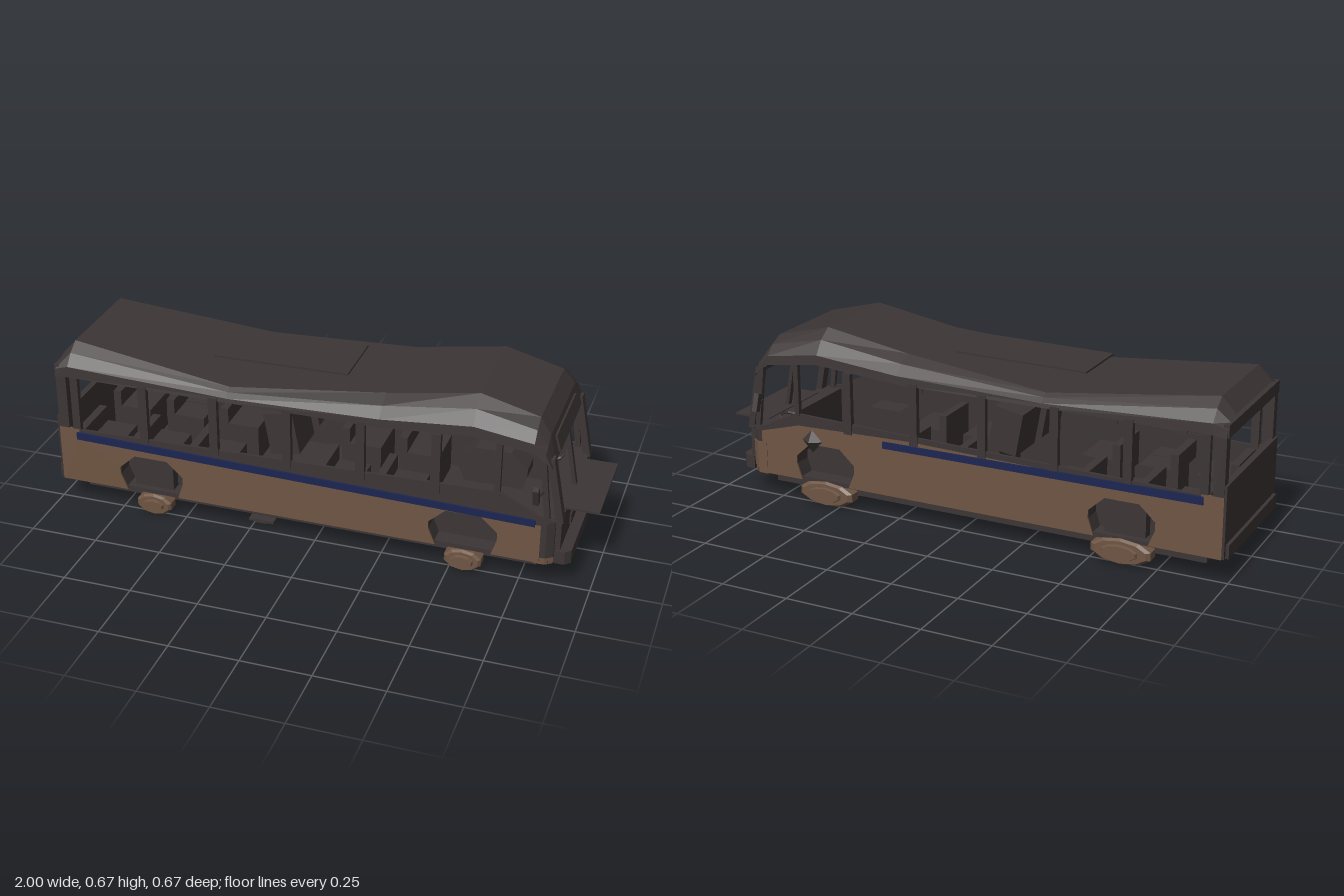
import * as THREE from 'three';

const mat = (name, color, side = THREE.FrontSide) => {
  const m = new THREE.MeshStandardMaterial({ color, side, flatShading: true });
  m.name = name;
  return m;
};

export function createModel() {
  const bus = new THREE.Group();
  bus.name = 'wreckedBus';
  const soot = mat('charred metal', 0x3c3535);
  const sootSheet = mat('charred sheet', 0x3c3535, THREE.DoubleSide);
  const rust = mat('rusty brown', 0x6e5543);
  const blue = mat('blue stripe', 0x1c2552);

  const add = (name, geo, material, x = 0, y = 0, z = 0) => {
    const m = new THREE.Mesh(geo, material);
    m.name = name;
    m.position.set(x, y, z);
    bus.add(m);
    return m;
  };
  // Box given by its low and high limits on each axis
  const box = (name, material, x0, x1, y0, y1, z0, z1) =>
    add(name, new THREE.BoxGeometry(x1 - x0, y1 - y0, z1 - z0), material,
      (x0 + x1) / 2, (y0 + y1) / 2, (z0 + z1) / 2);
  // Square bar between two points
  const beam = (name, a, b, w, d) => {
    const p = new THREE.Vector3(...a), q = new THREE.Vector3(...b);
    const m = add(name, new THREE.BoxGeometry(w, p.distanceTo(q), d), soot);
    m.position.copy(p).add(q).multiplyScalar(0.5);
    m.quaternion.setFromUnitVectors(new THREE.Vector3(0, 1, 0), q.sub(p).normalize());
  };
  const extrude = (pts, depth) => new THREE.ExtrudeGeometry(
    new THREE.Shape(pts.map(p => new THREE.Vector2(...p))), { depth, bevelEnabled: false });
  // Flat panel in the side plane, outer face at z = s * outer
  const sidePanel = (name, pts, material, s, outer, depth) =>
    add(name, extrude(pts, depth), material, 0, 0, s > 0 ? outer - depth : -outer);
  // Slab with a plan outline in x and z
  const slab = (name, plan, y0, y1, material) => {
    add(name, extrude(plan, y1 - y0), material, 0, y1, 0).rotation.x = Math.PI / 2;
  };

  // Roof shell: x, lower edge, eave, shoulder, top, half width of top
  const sections = [
    [-0.98, 0.515, 0.545, 0.56, 0.575, 0.19],
    [-0.93, 0.52, 0.56, 0.6, 0.63, 0.19],
    [-0.32, 0.52, 0.535, 0.55, 0.562, 0.23],
    [0.24, 0.52, 0.55, 0.585, 0.61, 0.185],
    [0.57, 0.545, 0.58, 0.63, 0.665, 0.185],
    [0.78, 0.515, 0.55, 0.585, 0.61, 0.185],
    [0.82, 0.49, 0.515, 0.535, 0.555, 0.2],
    [0.845, 0.463, 0.464, 0.465, 0.466, 0.22],
  ];
  const pos = [], index = [];
  sections.forEach(([x, yb, ye, ym, yt, zt]) => {
    const half = [[0.273, yb], [0.27, ye], [Math.max(0.235, zt + 0.02), ym], [zt, yt]];
    half.forEach(([z, y]) => pos.push(x, y, z));
    half.reverse().forEach(([z, y]) => pos.push(x, y, -z));
  });
  for (let i = 0; i < sections.length - 1; i++) {
    for (let j = 0; j < 7; j++) {
      const a = i * 8 + j, b = a + 8;
      index.push(a, b, b + 1, a, b + 1, a + 1);
    }
  }
  const roofGeo = new THREE.BufferGeometry();
  roofGeo.setAttribute('position', new THREE.Float32BufferAttribute(pos, 3));
  roofGeo.setIndex(index);
  const flatRoof = roofGeo.toNonIndexed();
  flatRoof.computeVertexNormals();
  add('roof', flatRoof, sootSheet);
  box('rearHeader', soot, -0.985, -0.965, 0.515, 0.56, -0.265, 0.265);
  box('roofHatch', soot, -0.42, 0.08, 0.614, 0.621, -0.12, 0.12).rotation.z = 0.012;
  box('destinationPanel', soot, 0.833, 0.842, 0.475, 0.535, -0.16, 0.16).rotation.z = 0.28;

  // Side walls with wheel arches cut into the lower edge
  const arch = (cx, k = 1) => [[-0.1, 0], [-0.125, 0.06], [-0.125, 0.09], [-0.065, 0.145],
    [0.06, 0.145], [0.12, 0.09], [0.12, 0.06], [0.1, 0]]
    .map(([x, y]) => [cx + x * k, 0.09 + y * k]);
  const axles = [-0.62, 0.55];
  // Edge between rust and soot, front to rear; it runs higher on the right side
  const edges = {
    1: [[0.82, 0.24], [-0.9, 0.275]],
    '-1': [[0.82, 0.255], [0.66, 0.3], [0.2, 0.312], [-0.9, 0.285]],
  };
  const stripes = {
    1: [[-0.91, 0.27], [0.8, 0.235], [0.8, 0.26], [-0.91, 0.298]],
    '-1': [[-0.91, 0.275], [0.3, 0.272], [0.3, 0.297], [-0.91, 0.303]],
  };

  for (const s of [1, -1]) {
    const zr = (a, b) => (s > 0 ? [a, b] : [-b, -a]);
    const lower = [[-0.98, 0.09], ...arch(axles[0]), ...arch(axles[1]), [0.82, 0.09],
      ...edges[s], [-0.9, 0.31], [-0.98, 0.31]];
    const upper = [...[...edges[s]].reverse(), [0.87, 0.265], [0.8, 0.28],
      [0.67, 0.345], [0.2, 0.332], [-0.9, 0.307]];
    sidePanel('lowerSide', lower, rust, s, 0.272, 0.006);
    sidePanel('innerLining', lower, soot, s, 0.266, 0.006);
    sidePanel('upperSide', upper, soot, s, 0.271, 0.011);
    sidePanel('sideStripe', stripes[s], blue, s, 0.279, 0.008);

    // Window pillars and corner posts
    for (const x of [-0.64, -0.37, -0.095, 0.175, 0.445]) {
      box('windowPillar', soot, x - 0.016, x + 0.016, 0.3, 0.53, ...zr(0.256, 0.276));
    }
    box('doorPillar', soot, 0.652, 0.672, 0.33, 0.54, ...zr(0.255, 0.272));
    box('rearPost', soot, -0.98, -0.94, 0.3, 0.53, ...zr(0.235, 0.271));
    box('rearSidePost', soot, -0.925, -0.895, 0.3, 0.53, ...zr(0.252, 0.271));
    beam('windscreenPillar', [0.88, 0.25, s * 0.235], [0.835, 0.49, s * 0.235], 0.025, 0.036);
    beam('frontDoorPillar', [0.84, 0.25, s * 0.262], [0.81, 0.52, s * 0.262], 0.02, 0.015);

    // Flattened wheels in dark recessed arches; the right ones are splayed wider
    const wide = s > 0 ? 1 : 1.65;
    const flat = s > 0 ? 0.6 : 0.68;
    for (const x of axles) {
      sidePanel('archBack', arch(x, 1.06), soot, s, 0.2, 0.03);
      sidePanel('archTunnel', [...arch(x, 1.06), ...arch(x).reverse()], soot, s, 0.264, 0.066);
      const tyre = add('tyre', new THREE.LatheGeometry([[0, -0.03], [0.06, -0.03],
        [0.07, -0.02], [0.07, 0.02], [0.06, 0.03], [0, 0.03]]
        .map(p => new THREE.Vector2(...p)), 10), rust, x, 0.07 * flat, s * 0.245);
      const hub = add('wheelHub', new THREE.CylinderGeometry(0.038, 0.042, 0.012, 10),
        rust, x, 0.07 * flat, s * 0.28);
      for (const w of [tyre, hub]) {
        w.rotation.x = s * Math.PI / 2;
        w.scale.set(wide, 1, flat);
      }
    }

    // Wing mirrors, both knocked the same way
    const mirror = add('wingMirror', new THREE.BoxGeometry(0.02, 0.068, 0.022), soot,
      0.805, 0.38, s * 0.316);
    mirror.rotation.x = 0.32;
    beam('mirrorArm', [0.82, 0.372, s * 0.262], [0.805, 0.372, s * 0.31], 0.01, 0.01);

    // Seats
    for (const x of [-0.84, -0.62, -0.4, 0.08, 0.3]) {
      box('seatBase', soot, x - 0.06, x + 0.07, 0.1, 0.24, ...zr(0.06, 0.24));
      box('seatBack', soot, x - 0.08, x - 0.05, 0.1, 0.3, ...zr(0.06, 0.24));
    }
    box('looseSeat', soot, -0.2, -0.09, 0.3, 0.46, ...zr(0.03, 0.187)).rotation.z = 0.18;
  }

  // Bent sheet standing out above the right front arch
  const bulge = add('bentArchSheet', new THREE.ConeGeometry(0.045, 0.03, 4), soot,
    0.6, 0.25, -0.285);
  bulge.rotation.x = -Math.PI / 2;

  // Floor, chassis and rear wall
  box('floor', soot, -0.975, 0.85, 0.084, 0.1, -0.262, 0.262);
  box('chassis', soot, -0.91, 0.8, 0.04, 0.09, -0.21, 0.21);
  box('rearWall', soot, -0.988, -0.965, 0.09, 0.35, -0.268, 0.268);
  box('rearBumper', soot, -1.0, -0.975, 0.09, 0.14, -0.255, 0.255);

  // Nose with rounded corners, rusty along the bottom and on the right cheek
  const plan = [[0.8, -0.27], [0.84, -0.268], [0.865, -0.25], [0.88, -0.2],
    [0.88, 0.2], [0.865, 0.25], [0.84, 0.268], [0.8, 0.27]];
  slab('noseBottom', plan, 0.085, 0.11, rust);
  slab('nose', plan, 0.11, 0.265, soot);
  slab('rustyCheek', [[0.8, -0.274], [0.84, -0.272], [0.868, -0.252],
    [0.865, -0.248], [0.84, -0.266], [0.8, -0.268]], 0.11, 0.21, rust);
  box('nosePanel', soot, 0.866, 0.886, 0.11, 0.262, -0.245, 0.245);
  box('numberPlate', soot, 0.884, 0.892, 0.155, 0.197, -0.094, 0.094);
  slab('frontBumper', [[0.87, -0.255], [0.905, -0.255], [0.925, -0.235],
    [0.925, 0.235], [0.905, 0.255], [0.87, 0.255]], 0.09, 0.14, soot);
  box('bentHoodSheet', soot, 0.85, 1.0, 0.261, 0.268, -0.178, 0.172);
  beam('windscreenMullion', [0.88, 0.26, 0], [0.84, 0.48, 0], 0.015, 0.022);

  // Steering wheel
  const steering = add('steeringWheel', new THREE.TorusGeometry(0.04, 0.006, 4, 10), soot,
    0.77, 0.275, -0.15);
  steering.rotation.set(Math.PI / 2, 0.3, 0);

  // Fallen exhaust piece beside the chassis
  box('exhaustPipe', soot, -0.265, -0.17, 0.015, 0.025, 0.175, 0.22);
  box('exhaustTip', soot, -0.24, -0.2, 0.008, 0.018, 0.185, 0.215);

  return bus;
}
